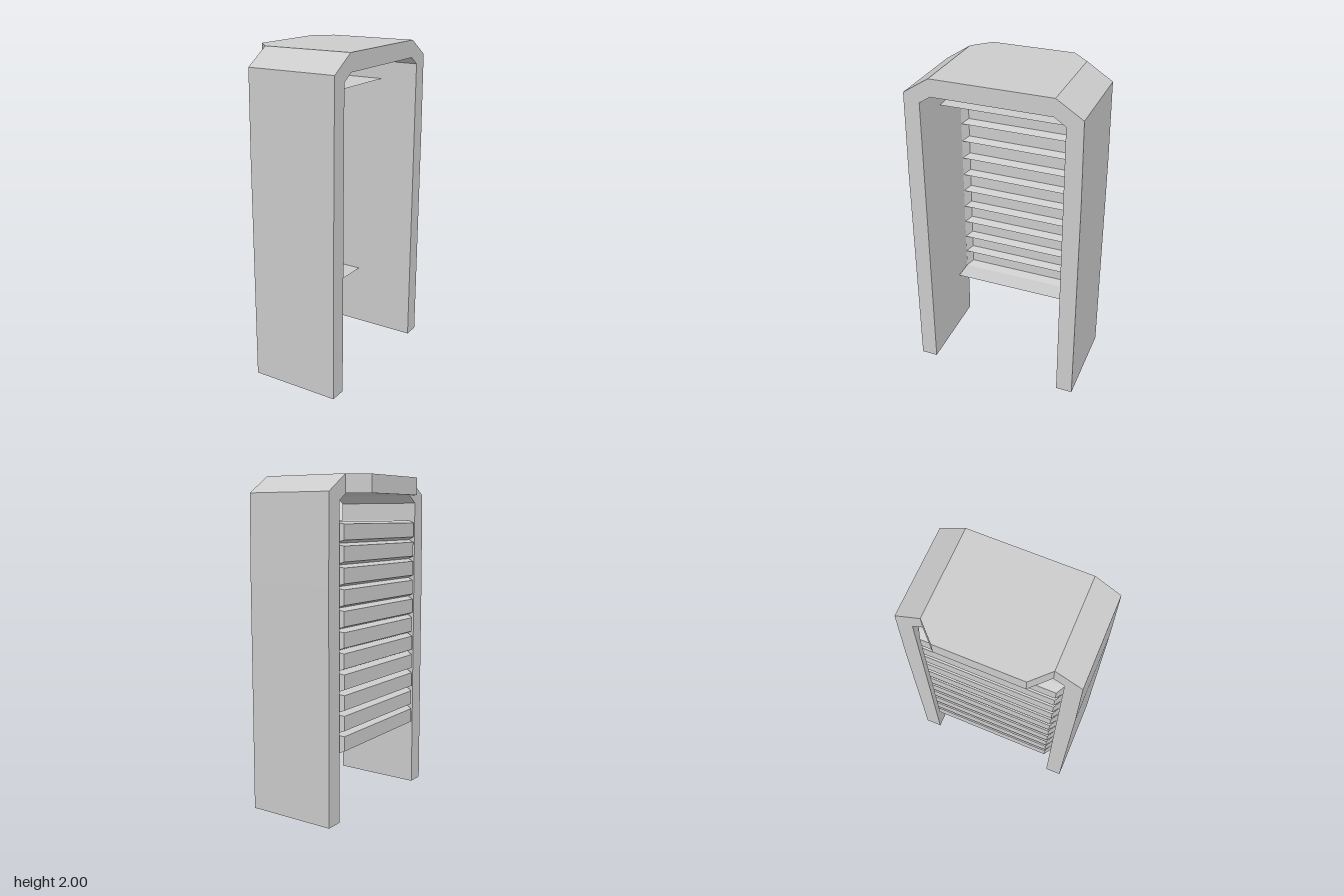
import * as THREE from 'three';

const material = new THREE.MeshStandardMaterial({ color: 0xcccccc, flatShading: true, side: THREE.DoubleSide });

function addMesh(parent, name, geometry) {
  const mesh = new THREE.Mesh(geometry, material);
  mesh.name = name;
  parent.add(mesh);
}

// Flat-shaded surface from four-cornered faces
function quadGeometry(quads) {
  const points = quads.flatMap(([a, b, c, d]) => [a, b, c, a, c, d]);
  const geometry = new THREE.BufferGeometry();
  geometry.setAttribute('position', new THREE.Float32BufferAttribute(points.flat(), 3));
  geometry.computeVertexNormals();
  return geometry;
}

// Drop the triangles lying on the ground, leaving the hollow legs open below
function openBottom(geometry) {
  const p = geometry.attributes.position;
  const kept = [];
  for (let i = 0; i < p.count; i += 3) {
    if (Math.max(p.getY(i), p.getY(i + 1), p.getY(i + 2)) < 1e-4) continue;
    for (let k = i; k < i + 3; k++) kept.push(p.getX(k), p.getY(k), p.getZ(k));
  }
  const open = new THREE.BufferGeometry();
  open.setAttribute('position', new THREE.Float32BufferAttribute(kept, 3));
  open.computeVertexNormals();
  return open;
}

export function createModel() {
  const group = new THREE.Group();
  group.name = 'louvredArch';

  // Arch: half profile in (z, y), mirrored and extruded along x
  const half = [[0.355, 1.895], [0.422, 1.85], [0.427, 0], [0.53, 0], [0.525, 1.39], [0.517, 1.9], [0.36, 2]];
  const outline = [...half, ...half.map(([z, y]) => [-z, y]).reverse()];
  const archShape = new THREE.Shape(outline.map(([z, y]) => new THREE.Vector2(z, y)));
  const arch = new THREE.ExtrudeGeometry(archShape, { depth: 0.56, bevelEnabled: false });
  arch.rotateY(-Math.PI / 2).translate(0.33, 0, 0);
  addMesh(group, 'arch', openBottom(arch));

  // Canopy: chamfered ledge projecting from the roof
  const ledge = [[-0.23, 0.36], [-0.335, 0.255], [-0.335, -0.255], [-0.23, -0.36]];
  const canopyShape = new THREE.Shape(ledge.map(([x, z]) => new THREE.Vector2(x, z)));
  const canopy = new THREE.ExtrudeGeometry(canopyShape, { depth: 0.105, bevelEnabled: false });
  canopy.rotateX(Math.PI / 2).translate(0, 2, 0);
  addMesh(group, 'canopy', canopy);

  // Louvre: stack of shallow trays whose rims meet in ridges on the inside
  const count = 11, bottom = 0.405, top = 1.74, pitch = (top - bottom) / count;
  const outerX = -0.24, ridgeX = -0.19, outerZ = 0.39, ridgeZ = 0.42;
  const rect = (x, z, y0, y1) => [[x, y0, -z], [x, y0, z], [x, y1, z], [x, y1, -z]];
  const louvre = new THREE.Group();
  louvre.name = 'louvre';
  group.add(louvre);
  for (let i = 0; i < count; i++) {
    const y = bottom + i * pitch;
    const outer = rect(outerX, outerZ, y + 0.019, y + pitch - 0.014);
    const inner = rect(ridgeX, ridgeZ, y, y + pitch);
    const quads = [outer];
    for (let k = 0; k < 4; k++) {
      const n = (k + 1) % 4;
      quads.push([outer[k], inner[k], inner[n], outer[n]]);
    }
    addMesh(louvre, 'slat' + (i + 1), quadGeometry(quads));
  }

  // Thin shelves closing the louvre above and below
  const shelf = (y, x) => quadGeometry([
    [[ridgeX, y, -ridgeZ], [ridgeX, y, ridgeZ], [x, y, ridgeZ], [x, y, -ridgeZ]],
  ]);
  addMesh(louvre, 'topShelf', shelf(top, 0.09));
  addMesh(louvre, 'bottomShelf', shelf(bottom, -0.06));

  return group;
}
